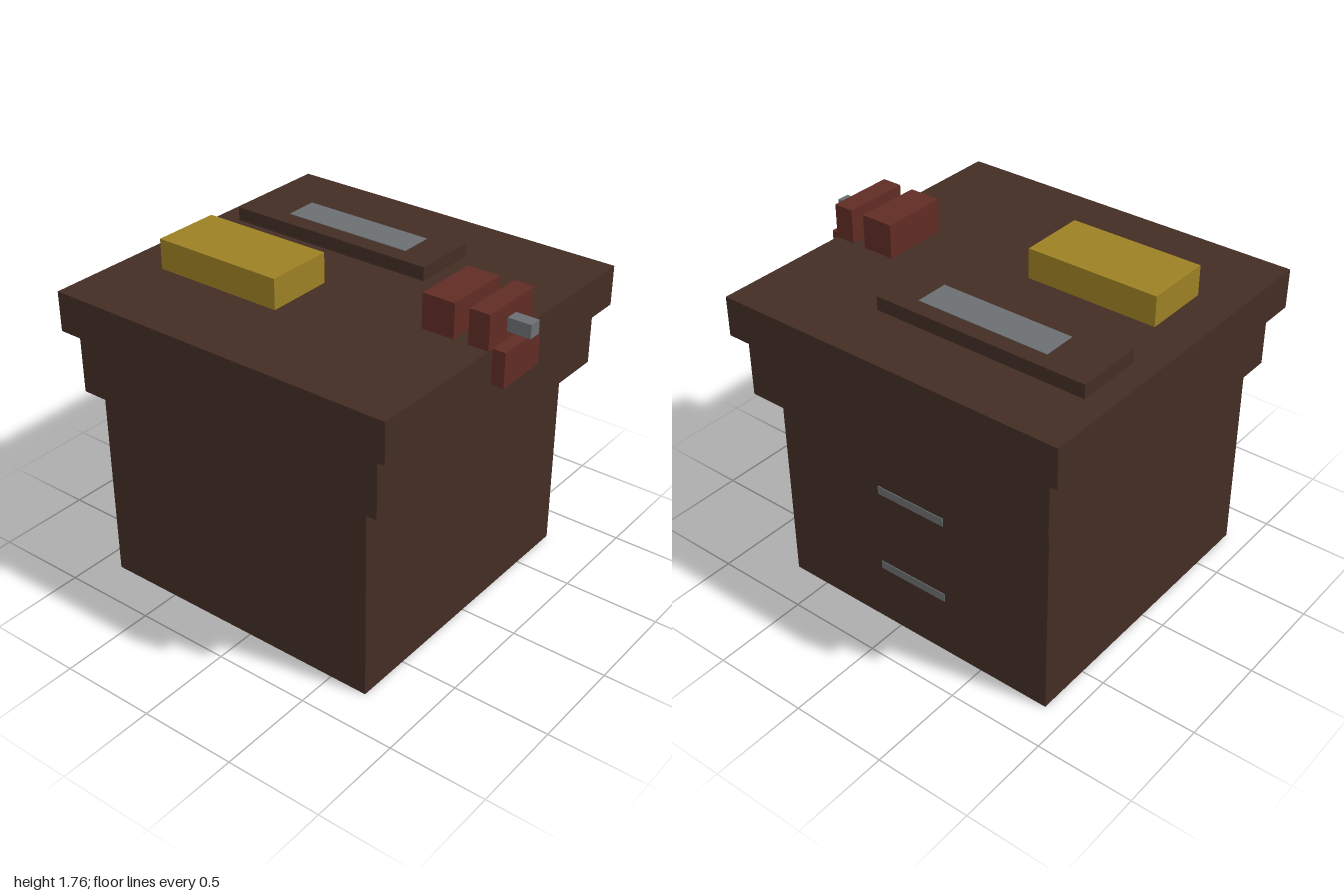
import * as THREE from 'three';

function material(name, color, extra = {}) {
  const m = new THREE.MeshStandardMaterial({ color, ...extra });
  m.name = name;
  return m;
}

export function createModel() {
  const group = new THREE.Group();
  group.name = 'workbench';

  const wood = material('dark wood', 0x432d23, { side: THREE.DoubleSide });
  const red = material('red iron', 0x602c24);
  const gold = material('gold', 0x9c8024);
  const steel = material('steel grey', 0x6b6f71);

  // box given by its limits along each axis
  function box(name, mat, [x0, x1], [y0, y1], [z0, z1]) {
    const mesh = new THREE.Mesh(new THREE.BoxGeometry(x1 - x0, y1 - y0, z1 - z0), mat);
    mesh.position.set((x0 + x1) / 2, (y0 + y1) / 2, (z0 + z1) / 2);
    mesh.name = name;
    group.add(mesh);
    return mesh;
  }

  // cabinet: hollow, open underneath, so the top and bottom faces are dropped
  const cabinet = box('cabinet', wood, [-0.88, 0.70], [0, 1.06], [-0.79, 0.79]);
  const index = Array.from(cabinet.geometry.index.array);
  cabinet.geometry.setIndex([...index.slice(0, 12), ...index.slice(24)]);
  cabinet.geometry.clearGroups();

  // stepped upper body
  box('apron', wood, [-0.93, 0.81], [1.06, 1.38], [-0.863, 0.863]);
  box('benchTop', wood, [-1, 0.88], [1.38, 1.585], [-0.907, 0.907]);

  // drawer handles on the back
  for (const y of [0.335, 0.785]) {
    box('drawerHandle', steel, [-0.288, 0.103], [y - 0.022, y + 0.022], [-0.794, -0.788]);
  }

  // things lying on the top
  box('goldBlock', gold, [-0.79, -0.09], [1.585, 1.74], [0.083, 0.438]);
  box('toolTray', wood, [-0.88, 0.263], [1.585, 1.656], [-0.565, -0.213]);
  box('trayPlate', steel, [-0.622, 0.09], [1.653, 1.659], [-0.48, -0.303]);

  // vise at the left end
  box('viseInnerJaw', red, [0.53, 0.70], [1.585, 1.76], [-0.174, 0.174]);
  box('viseOuterJaw', red, [0.775, 0.88], [1.585, 1.76], [-0.174, 0.174]);
  box('viseBracket', red, [0.88, 0.945], [1.41, 1.585], [-0.14, 0.14]);
  box('viseScrew', steel, [0.88, 1], [1.625, 1.693], [-0.033, 0.033]);

  return group;
}
